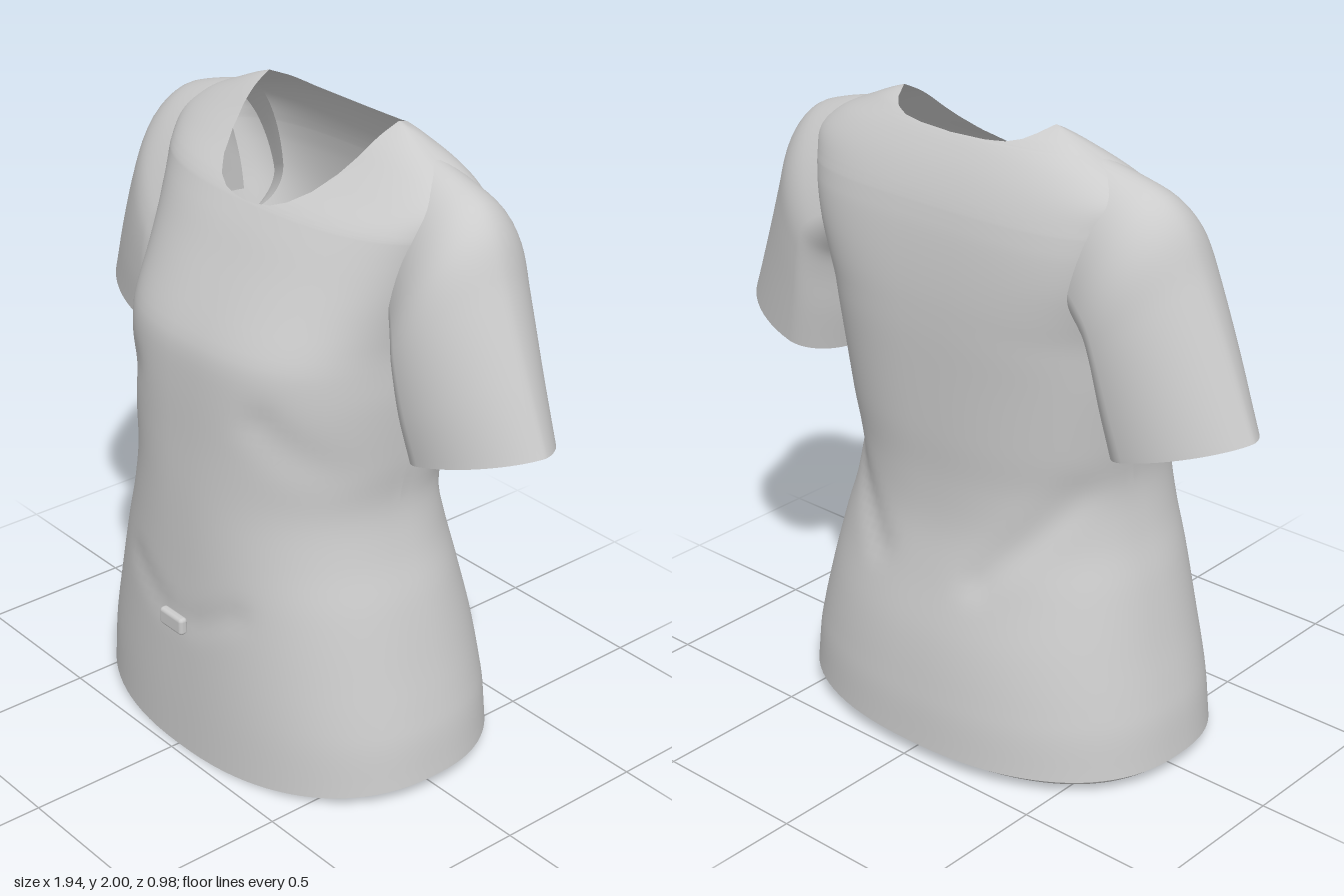
import * as THREE from 'three';
import { mergeVertices } from 'three/addons/utils/BufferGeometryUtils.js';
import { RoundedBoxGeometry } from 'three/addons/geometries/RoundedBoxGeometry.js';

const cloth = new THREE.MeshStandardMaterial({ color: 0xcccccc, side: THREE.DoubleSide });

// Smooth or straight interpolation of a key table [at, value, value, ...]
function sample(keys, at, smooth = true) {
  let i = 0;
  while (i < keys.length - 2 && at > keys[i + 1][0]) i++;
  const a = keys[i], b = keys[i + 1], h = b[0] - a[0];
  const t = THREE.MathUtils.clamp((at - a[0]) / h, 0, 1);
  const p = keys[Math.max(i - 1, 0)], n = keys[Math.min(i + 2, keys.length - 1)];
  return a.slice(1).map((va, k) => {
    const vb = b[k + 1];
    if (!smooth) return va + (vb - va) * t;
    const ma = (vb - p[k + 1]) / (b[0] - p[0]) * h;
    const mb = (n[k + 1] - va) / (n[0] - a[0]) * h;
    const t2 = t * t, t3 = t2 * t;
    return (2 * t3 - 3 * t2 + 1) * va + (t3 - 2 * t2 + t) * ma + (3 * t2 - 2 * t3) * vb + (t3 - t2) * mb;
  });
}

// Skin of quads over point(row, column, quad column), smoothed across shared corners
function skin(name, rows, cols, point, flip = false, skip = () => false) {
  const pos = [];
  for (let i = 0; i < rows; i++) {
    for (let k = 0; k < cols; k++) {
      const a = point(i, k, k), b = point(i, k + 1, k);
      const c = point(i + 1, k + 1, k), d = point(i + 1, k, k);
      if (skip(a.clone().add(c).multiplyScalar(0.5))) continue;
      for (const v of flip ? [a, c, b, a, d, c] : [a, b, c, a, c, d]) pos.push(v.x, v.y, v.z);
    }
  }
  let geo = new THREE.BufferGeometry();
  geo.setAttribute('position', new THREE.Float32BufferAttribute(pos, 3));
  geo = mergeVertices(geo, 1e-4);
  geo.computeVertexNormals();
  const mesh = new THREE.Mesh(geo, cloth);
  mesh.name = name;
  return mesh;
}

// Torso sections: height, half width, front z, back z, middle z, squareness front and back
const BODY = [
  [0.0, 0.682, 0.472, -0.487, 0.0, 2.3, 2.3], [0.2, 0.66, 0.47, -0.478, 0.0, 2.3, 2.3],
  [0.4, 0.612, 0.465, -0.452, 0.0, 2.3, 2.3], [0.6, 0.56, 0.457, -0.405, 0.0, 2.3, 2.3],
  [0.75, 0.512, 0.452, -0.377, 0.0, 2.3, 2.3], [0.9, 0.484, 0.446, -0.372, 0.0, 2.3, 2.4],
  [1.05, 0.495, 0.438, -0.38, -0.02, 2.4, 2.5], [1.25, 0.507, 0.428, -0.387, -0.05, 2.6, 2.7],
  [1.36, 0.507, 0.415, -0.39, -0.07, 2.7, 2.9], [1.42, 0.51, 0.39, -0.39, -0.08, 2.7, 3.0],
  [1.5, 0.525, 0.345, -0.388, -0.09, 2.6, 3.2], [1.6, 0.55, 0.285, -0.38, -0.1, 2.5, 3.4],
  [1.7, 0.575, 0.225, -0.366, -0.1, 2.4, 3.4], [1.77, 0.592, 0.172, -0.348, -0.1, 2.4, 3.2],
  [1.84, 0.595, 0.085, -0.32, -0.11, 2.4, 2.9], [1.9, 0.525, 0.015, -0.287, -0.12, 2.4, 2.7],
  [1.95, 0.415, -0.035, -0.25, -0.13, 2.3, 2.5], [1.98, 0.345, -0.075, -0.212, -0.138, 2.2, 2.4],
  [2.0, 0.29, -0.125, -0.155, -0.14, 2.2, 2.2],
];
// Half width of the neck opening by height
const NECK_FRONT = [[0, 0], [1.755, 0], [1.758, 0.05], [1.766, 0.1], [1.785, 0.15], [1.82, 0.2],
  [1.87, 0.24], [1.92, 0.265], [2, 0.29]];
const NECK_BACK = [[0, 0], [1.944, 0], [1.947, 0.12], [1.953, 0.19], [1.965, 0.235], [1.98, 0.263], [2, 0.29]];

// Soft creases: start x,y, end x,y, width, depth, side (1 front, -1 back)
const CREASES = [
  [0.07, 0.47, 0.24, 0.56, 0.045, 0.007, 1], [-0.07, 0.47, -0.24, 0.56, 0.045, 0.007, 1],
  [0.3, 1.2, 0.46, 1.05, 0.06, 0.012, 1], [-0.3, 1.2, -0.46, 1.05, 0.06, 0.012, 1],
  [0.2, 0.62, 0.45, 0.92, 0.05, 0.014, -1], [-0.2, 0.62, -0.45, 0.92, 0.05, 0.014, -1],
];
function creaseDepth(x, y, side) {
  let sum = 0;
  for (const [ax, ay, bx, by, w, depth, s] of CREASES) {
    if (s !== side) continue;
    const dx = bx - ax, dy = by - ay;
    const t = THREE.MathUtils.clamp(((x - ax) * dx + (y - ay) * dy) / (dx * dx + dy * dy), 0, 1);
    const d = Math.hypot(x - ax - dx * t, y - ay - dy * t) / w;
    sum += depth * Math.exp(-d * d);
  }
  return sum;
}

const Q = 24; // columns per quarter turn
// Point on a section; quarters run front, left, back, right
function sectionPoint(y, [w, zf, zb, zc, pf, pb], quarter, j, nf = 0, nb = 0) {
  const front = quarter === 0 || quarter === 3;
  const sx = quarter < 2 ? 1 : -1;
  const p = front ? pf : pb;
  const f = quarter % 2 ? 1 - j / Q : j / Q;
  const start = Math.asin(Math.pow(Math.min((front ? nf : nb) / w, 1), p / 2));
  const phi = start + (Math.PI / 2 - start) * f;
  const x = sx * w * Math.pow(Math.sin(phi), 2 / p);
  const reach = Math.pow(Math.max(Math.cos(phi), 0), 2 / p);
  return new THREE.Vector3(x, y, zc + ((front ? zf : zb) - zc) * reach);
}

function torso() {
  const ys = [];
  for (let y = 0; y < 1.74; y += 0.03) ys.push(y);
  for (let y = 1.75; y < 1.995; y += 0.01) ys.push(y);
  for (const key of [...NECK_FRONT.slice(1), ...NECK_BACK.slice(1)]) ys.push(key[0]);
  const rows = [...new Set(ys.map((y) => +y.toFixed(3)))].sort((a, b) => a - b);
  const data = rows.map((y) => [sample(BODY, y), sample(NECK_FRONT, y, false)[0], sample(NECK_BACK, y, false)[0]]);
  const point = (i, k, col) => {
    const quarter = Math.floor(col / Q), y = rows[i];
    const v = sectionPoint(y, data[i][0], quarter, k - quarter * Q, data[i][1], data[i][2]);
    const side = quarter === 0 || quarter === 3 ? 1 : -1;
    v.z -= side * creaseDepth(v.x, y, side) * Math.min(1, Math.abs(v.z) * 4);
    // the hem dips at the front centre
    const dip = THREE.MathUtils.clamp(v.z / 0.472, 0, 1);
    v.y += 0.045 * (1 - dip * dip) * Math.max(0, 1 - y / 0.25);
    return v;
  };
  // left open where the sleeves enter
  const armhole = (c) => Math.abs(c.x) > 0.51 && c.y > 1.53 && c.y < 1.75 && c.z > -0.22 && c.z < 0;
  return skin('torso', rows.length - 1, 4 * Q, point, false, armhole);
}

// Turned-in hem inside the bottom edge
function hemFold() {
  const rows = [[0.055, 0.674, 0.462, -0.48], [0.04, 0.652, 0.445, -0.452], [0.02, 0.648, 0.44, -0.446],
    [0.01, 0.641, 0.433, -0.44], [0.02, 0.634, 0.428, -0.432], [0.06, 0.636, 0.432, -0.434], [0.12, 0.667, 0.468, -0.48]];
  return skin('hemFold', rows.length - 1, 4 * Q, (i, k, col) => {
    const [y, w, zf, zb] = rows[i], quarter = Math.floor(col / Q);
    return sectionPoint(y, [w, zf, zb, 0, 2.3, 2.3], quarter, k - quarter * Q);
  }, true);
}

// Sleeve rings from inside the shoulder to the cuff: position, outer x y, inner x y, front z, back z
const SLEEVE = [
  [0, 0.42, 1.942, 0.37, 1.53, 0.0, -0.27], [0.12, 0.56, 1.905, 0.43, 1.49, 0.055, -0.305],
  [0.22, 0.66, 1.866, 0.47, 1.455, 0.09, -0.325], [0.32, 0.728, 1.795, 0.495, 1.42, 0.115, -0.33],
  [0.48, 0.787, 1.66, 0.508, 1.36, 0.128, -0.324], [0.75, 0.885, 1.43, 0.522, 1.23, 0.122, -0.308],
  [1, 0.972, 1.22, 0.545, 1.1, 0.103, -0.292],
];
function sleeve(name, side) {
  const R = 32, N = 64;
  const rings = Array.from({ length: R + 1 }, (_, i) => sample(SLEEVE, i / R));
  return skin(name, R, N, (i, k) => {
    const [ox, oy, ix, iy, zf, zb] = rings[i];
    const a = (k % N) / N * Math.PI * 2, c = Math.cos(a), s = Math.sin(a);
    const low = 0.28; // widest close to the underarm
    const u = low + c * (c > 0 ? 1 - low : low);
    // the outer side narrows towards the cuff
    const reach = Math.sign(s) * Math.pow(Math.abs(s), c > 0 ? 1 + 0.3 * i / R : 1);
    return new THREE.Vector3(side * (ix + (ox - ix) * u), iy + (oy - iy) * u,
      (zf + zb) / 2 + reach * (zf - zb) / 2);
  }, side < 0);
}

export function createModel() {
  const group = new THREE.Group();
  group.name = 'shirt';
  group.add(torso(), hemFold(), sleeve('leftSleeve', 1), sleeve('rightSleeve', -1));
  // Small gathering tab on the front
  const tab = new THREE.Mesh(new RoundedBoxGeometry(0.11, 0.058, 0.03, 3, 0.012), cloth);
  tab.name = 'frontTab';
  tab.position.set(-0.004, 0.453, 0.476);
  group.add(tab);
  return group;
}
